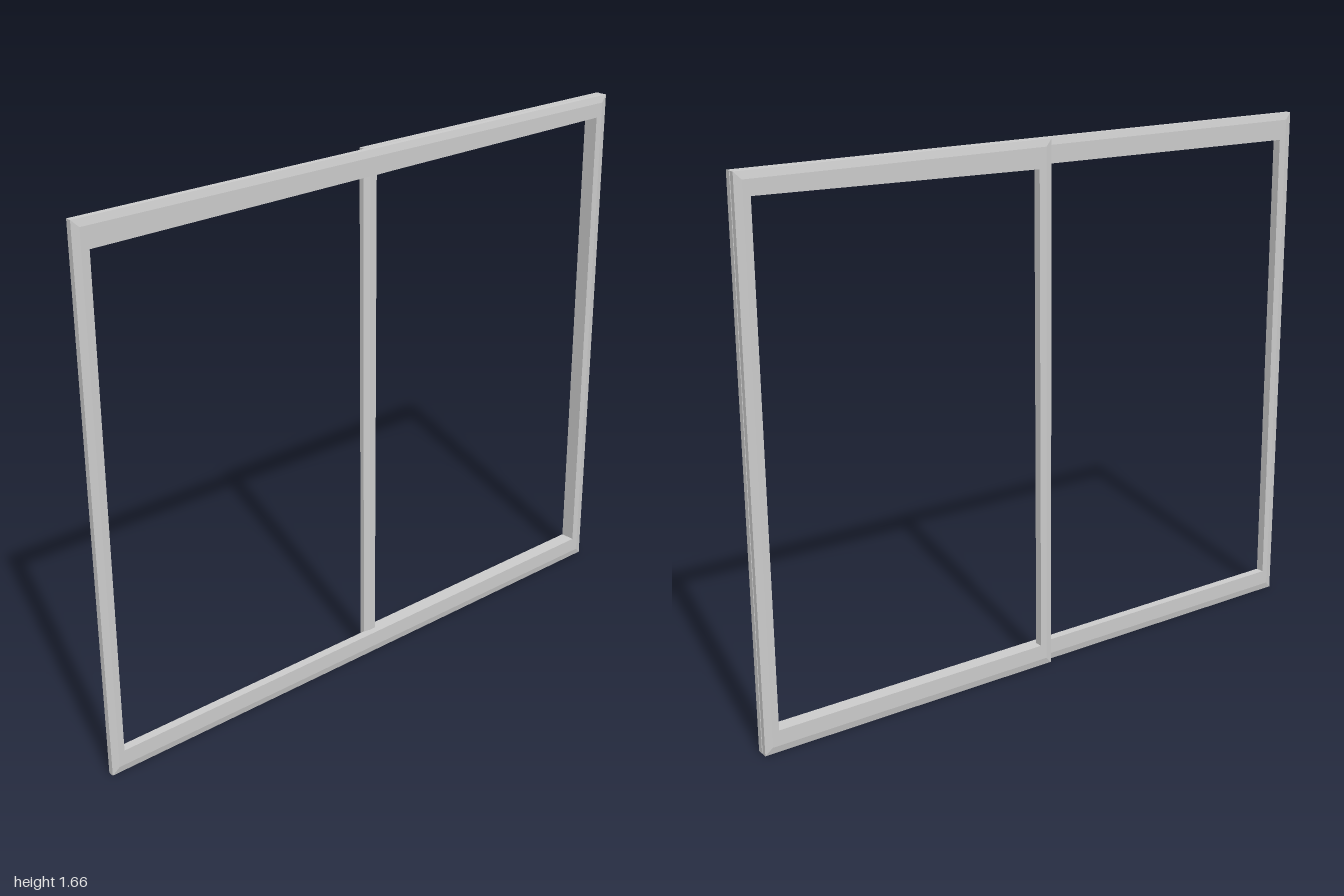
import * as THREE from 'three';

const H = 1.665;
const material = new THREE.MeshStandardMaterial({ color: 0xcccccc, flatShading: true });

// Four-sided frame swept from a cross-section, with a chamfered outer rim
function frame(name, x0, x1, z0, z1, inner) {
  const outline = (d) => [[x0 + d, d], [x1 - d, d], [x1 - d, H - d], [x0 + d, H - d]];
  const rim = 0.005;
  const rings = [
    [outline(0), z0 + rim], [outline(0), z1 - rim],
    [outline(0.022), z1], [inner, z1],
    [inner, z0], [outline(0.022), z0],
  ];
  const pos = [];
  const point = (r, c) => {
    const [pts, z] = rings[r % rings.length];
    return [...pts[c % 4], z];
  };
  for (let r = 0; r < rings.length; r++) {
    for (let c = 0; c < 4; c++) {
      const a = point(r, c), b = point(r, c + 1), d = point(r + 1, c), e = point(r + 1, c + 1);
      pos.push(...a, ...b, ...e, ...a, ...e, ...d);
    }
  }
  const geometry = new THREE.BufferGeometry();
  geometry.setAttribute('position', new THREE.Float32BufferAttribute(pos, 3));
  // Rings run from back to front on the outside, so flip to face outward
  const p = geometry.attributes.position;
  const v = (i) => new THREE.Vector3().fromBufferAttribute(p, i);
  const normal = v(1).sub(v(0)).cross(v(2).sub(v(0)));
  if (normal.y > 0) {
    geometry.setIndex([...Array(p.count).keys()].map((i) => (i % 3 === 0 ? i : i % 3 === 1 ? i + 1 : i - 1)));
  }
  geometry.computeVertexNormals();
  const mesh = new THREE.Mesh(geometry, material);
  mesh.name = name;
  return mesh;
}

export function createModel() {
  const group = new THREE.Group();
  group.name = 'slidingWindow';
  // Full-width front frame, its top rail tapering slightly
  group.add(frame('frontFrame', -1, 1, -0.004, 0.024,
    [[-0.958, 0.07], [0.955, 0.07], [0.955, 1.598], [-0.953, 1.58]]));
  // Half-width sash behind it; its stile forms the centre bar
  group.add(frame('rearSash', -0.016, 1, -0.024, 0.002,
    [[0.027, 0.07], [0.955, 0.07], [0.955, 1.598], [0.031, 1.58]]));
  return group;
}
